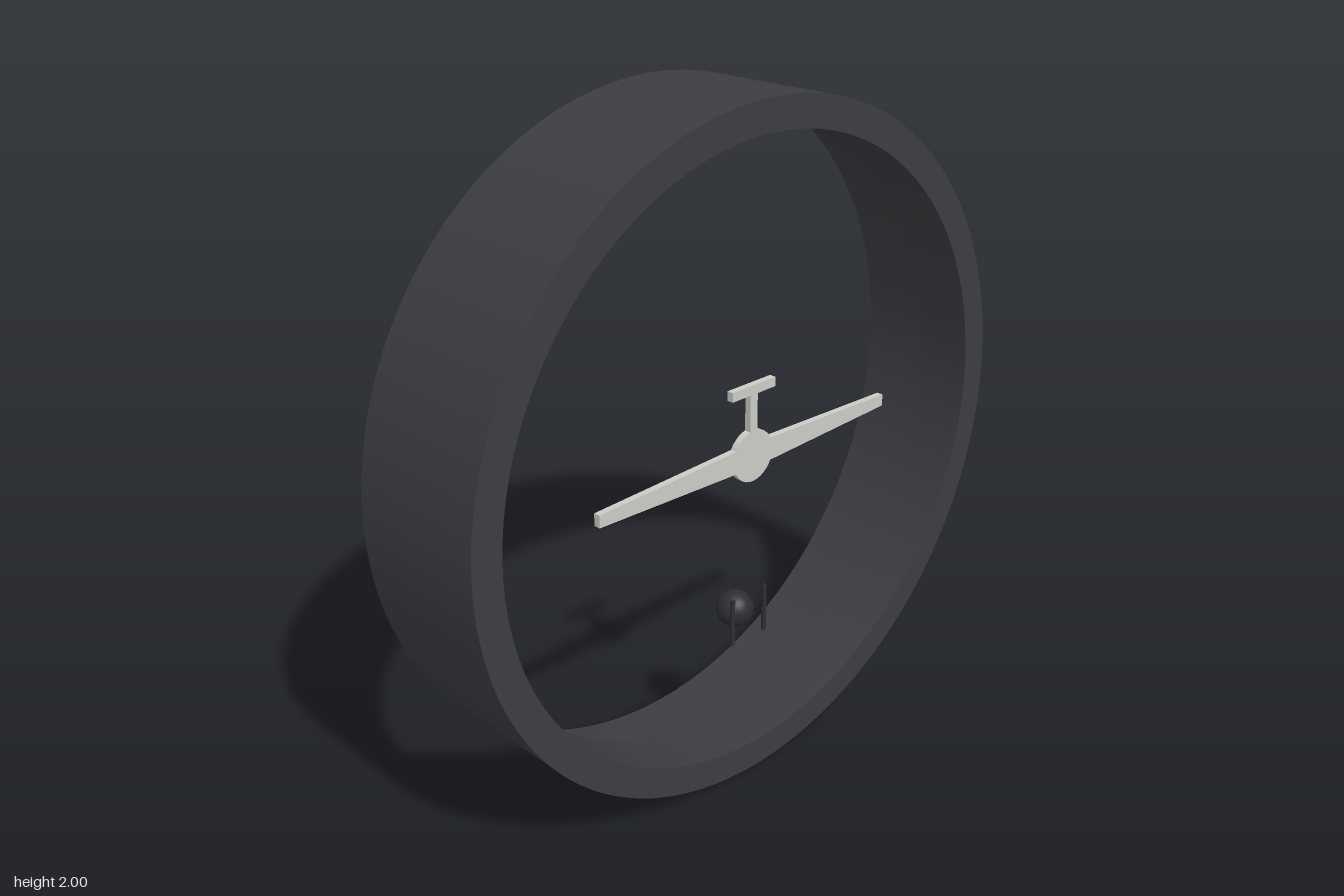
import * as THREE from 'three';

const bezelMat = new THREE.MeshStandardMaterial({ color: 0x3d3c42, side: THREE.DoubleSide });
bezelMat.name = 'charcoal';
const paleMat = new THREE.MeshStandardMaterial({ color: 0xcbcbc6, side: THREE.DoubleSide });
paleMat.name = 'paleGrey';
const blackMat = new THREE.MeshStandardMaterial({ color: 0x2e2e33, side: THREE.DoubleSide });
blackMat.name = 'black';

function add(parent, name, geometry, material, x = 0, y = 0, z = 0) {
  const mesh = new THREE.Mesh(geometry, material);
  mesh.name = name;
  mesh.position.set(x, y, z);
  parent.add(mesh);
  return mesh;
}

// Shallow open-backed shell: a front face at z = 0 and side walls running back
function addShell(parent, name, points, depth) {
  const shell = new THREE.Group();
  shell.name = name;
  const outline = points.map(([x, y]) => new THREE.Vector2(x, y));
  add(shell, name + 'Face', new THREE.ShapeGeometry(new THREE.Shape(outline)), paleMat);
  const pos = [];
  points.forEach(([ax, ay], i) => {
    const [bx, by] = points[(i + 1) % points.length];
    pos.push(ax, ay, 0, ax, ay, -depth, bx, by, -depth);
    pos.push(ax, ay, 0, bx, by, -depth, bx, by, 0);
  });
  const walls = new THREE.BufferGeometry();
  walls.setAttribute('position', new THREE.Float32BufferAttribute(pos, 3));
  walls.computeVertexNormals();
  add(shell, name + 'Walls', walls, paleMat);
  parent.add(shell);
}

export function createModel() {
  const model = new THREE.Group();
  model.name = 'turnIndicator';

  // Round bezel: outer wall, flat front rim and a shorter inner lip
  const bezel = new THREE.Group();
  bezel.name = 'bezel';
  const tube = (r, d) => new THREE.CylinderGeometry(r, r, d, 96, 1, true).rotateX(Math.PI / 2);
  add(bezel, 'outerWall', tube(1, 0.454), bezelMat, 0, 1, 0);
  add(bezel, 'frontRim', new THREE.RingGeometry(0.91, 1, 96), bezelMat, 0, 1, 0.227);
  add(bezel, 'innerLip', tube(0.91, 0.187), bezelMat, 0, 1, 0.1335);
  model.add(bezel);

  // Miniature aircraft seen from behind
  const plane = new THREE.Group();
  plane.name = 'miniatureAircraft';
  plane.position.set(0, 1, 0.175);
  const depth = 0.02;
  const circle = Array.from({ length: 32 }, (_, i) => {
    const a = (i / 32) * Math.PI * 2;
    return [0.077 * Math.cos(a), 0.077 * Math.sin(a) + 0.002];
  });
  addShell(plane, 'fuselage', circle, depth);
  addShell(plane, 'leftWing', [[0.05, -0.033], [0.565, -0.015], [0.565, 0.021], [0.05, 0.037]], depth);
  addShell(plane, 'rightWing', [[-0.05, 0.037], [-0.565, 0.021], [-0.565, -0.015], [-0.05, -0.033]], depth);
  addShell(plane, 'fin', [[-0.014, 0.02], [0.014, 0.02], [0.014, 0.19], [-0.014, 0.19]], depth);
  addShell(plane, 'tailplane', [[-0.084, 0.187], [0.084, 0.187], [0.084, 0.215], [-0.084, 0.215]], depth);
  model.add(plane);

  // Slip ball between its two marker bars
  add(model, 'slipBall', new THREE.SphereGeometry(0.056, 32, 20), blackMat, 0, 0.485, 0.107);
  for (const [side, name] of [[1, 'leftMarker'], [-1, 'rightMarker']]) {
    add(model, name, new THREE.BoxGeometry(0.013, 0.152, 0.008), blackMat, side * 0.066, 0.485, 0.163);
  }
  return model;
}
